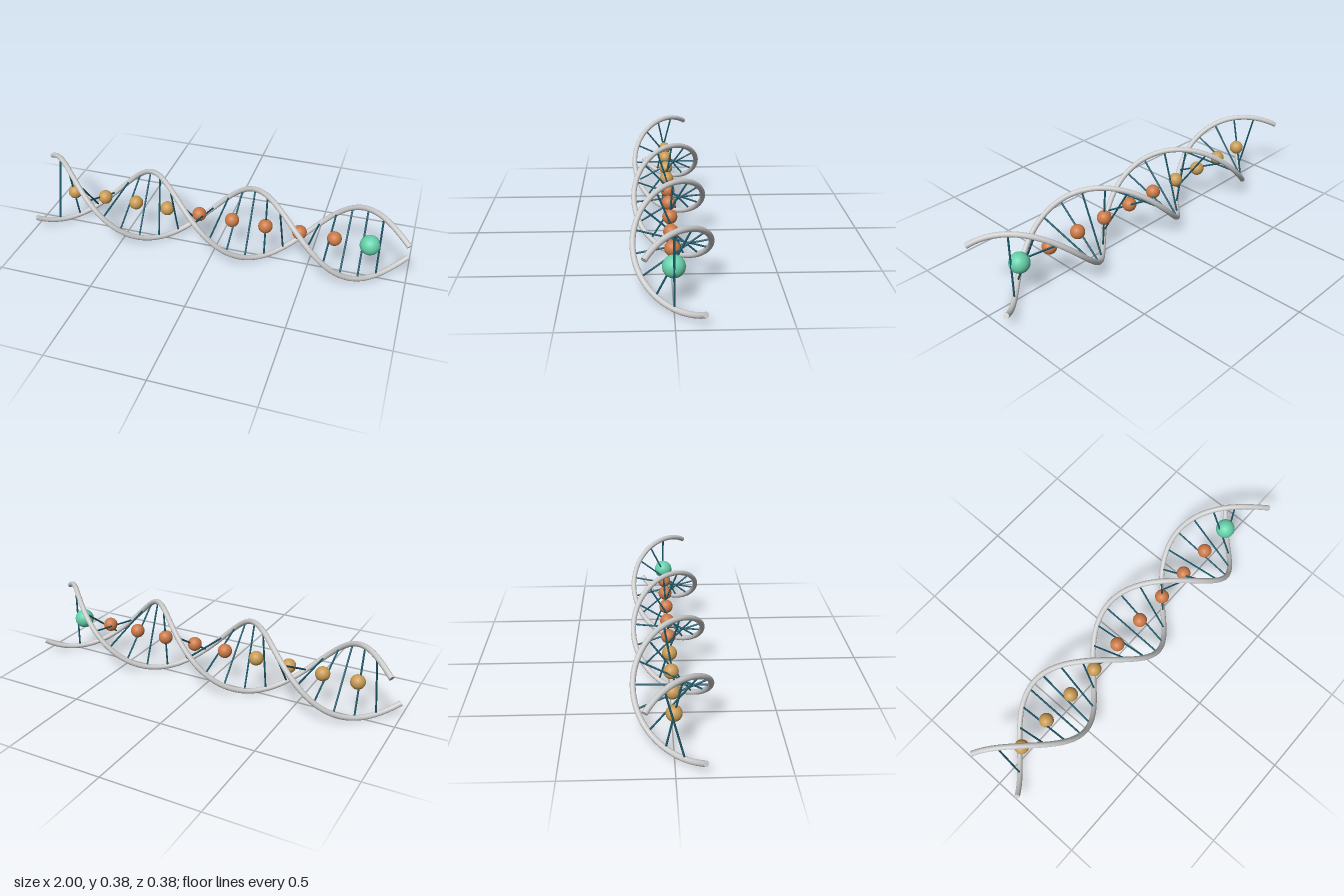
import * as THREE from 'three';

const CY = 0.193, R = 0.1785, TUBE = 0.0137, HALF = 0.99;
const K = (1.75 * 2 * Math.PI) / (2 * HALF); // 1.75 turns along x

// Point on a strand; side is +1 or -1 for the two opposite strands
const onStrand = (x, side, target = new THREE.Vector3()) =>
  target.set(x, CY + side * R * Math.sin(K * x), -side * R * Math.cos(K * x));

class Strand extends THREE.Curve {
  constructor(side) {
    super();
    this.side = side;
  }
  getPoint(t, target) {
    return onStrand(-HALF + 2 * HALF * t, this.side, target);
  }
}

const flat = (name, color) => {
  const m = new THREE.MeshStandardMaterial({ color });
  m.name = name;
  return m;
};

export function createModel() {
  const group = new THREE.Group();
  group.name = 'doubleHelix';
  const grey = flat('lightGrey', 0xcccccc);
  const teal = flat('darkTeal', 0x1e5a6b);
  const gold = flat('gold', 0xc99b55);
  const copper = flat('copper', 0xcc7a47);
  const mint = flat('mint', 0x66d0aa);

  const add = (name, geometry, material) => {
    const mesh = new THREE.Mesh(geometry, material);
    mesh.name = name;
    group.add(mesh);
    return mesh;
  };

  // Two helical strands with capped ends
  for (const side of [1, -1]) {
    const curve = new Strand(side);
    add('strand', new THREE.TubeGeometry(curve, 200, TUBE, 16), grey);
    for (const t of [0, 1]) {
      const cap = add('strandCap', new THREE.CircleGeometry(TUBE, 16), grey);
      const outward = curve.getTangent(t).multiplyScalar(t ? 1 : -1);
      cap.position.copy(curve.getPoint(t));
      cap.quaternion.setFromUnitVectors(new THREE.Vector3(0, 0, 1), outward);
    }
  }

  // Rungs joining the strands
  const rungGeo = new THREE.CylinderGeometry(0.0047, 0.0047, 2 * R, 8);
  for (let i = 0; i < 22; i++) {
    const x = -0.8935 + 0.083 * i;
    const rung = add('rung', rungGeo, teal);
    rung.position.set(x, CY, 0);
    const dir = onStrand(x, 1).sub(rung.position).normalize();
    rung.quaternion.setFromUnitVectors(new THREE.Vector3(0, 1, 0), dir);
  }

  // Beads along the axis: four gold, five copper, one large mint
  const beadGeo = new THREE.SphereGeometry(0.037, 32, 20);
  const endGeo = new THREE.SphereGeometry(0.051, 32, 20);
  for (let i = 0; i < 10; i++) {
    const last = i === 9;
    const bead = add(last ? 'endBead' : 'bead', last ? endGeo : beadGeo,
      last ? mint : i < 4 ? gold : copper);
    bead.position.set(-0.802 + 0.1782 * i, CY + 0.002, 0);
  }
  return group;
}
